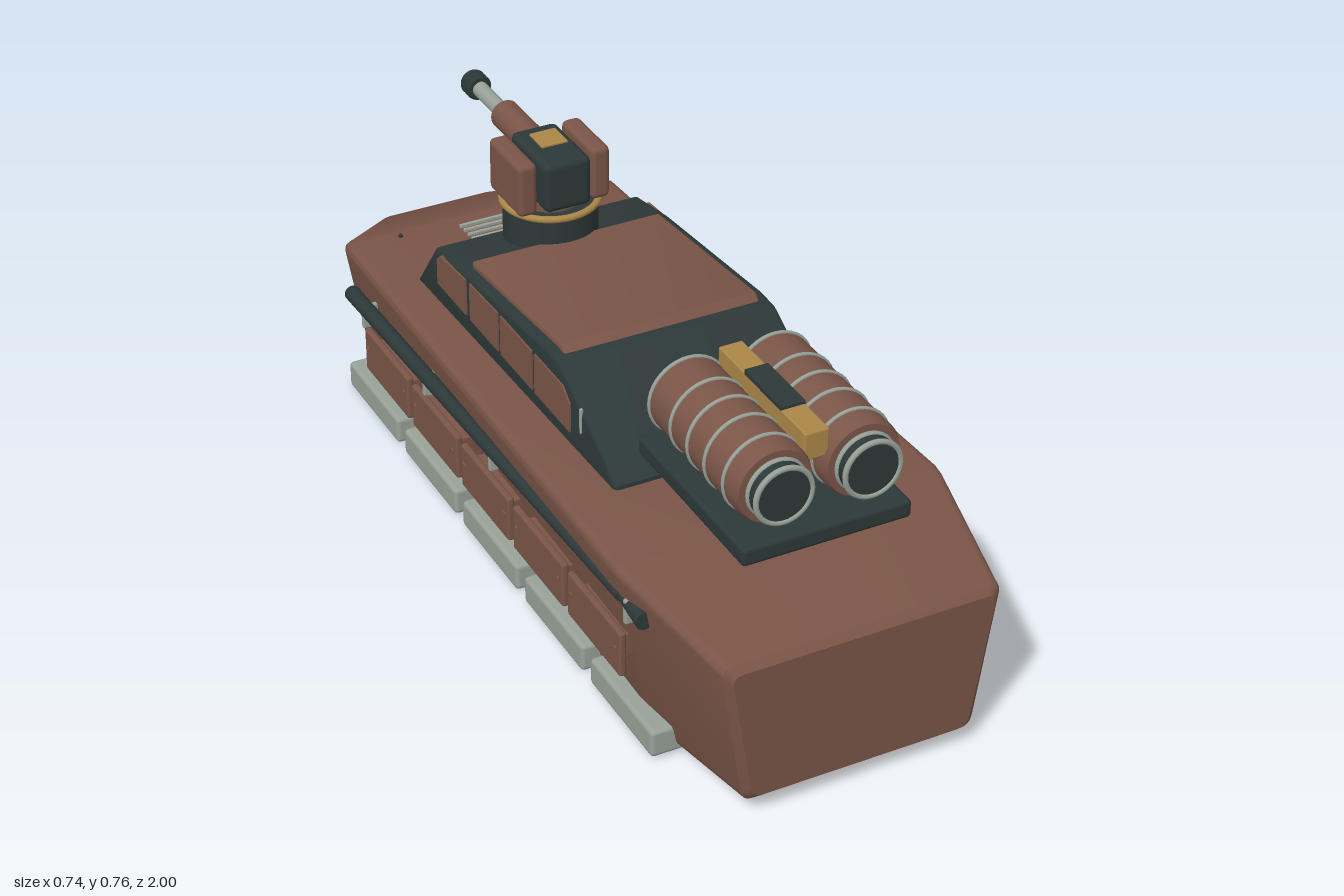
import * as THREE from 'three';
import { toCreasedNormals } from 'three/addons/utils/BufferGeometryUtils.js';
import { RoundedBoxGeometry } from 'three/addons/geometries/RoundedBoxGeometry.js';

const mat = (name, color) => Object.assign(new THREE.MeshStandardMaterial({ color }), { name });

export function createModel() {
  const brown = mat('brown armour', 0x7a5547);
  const dark = mat('dark slate', 0x2d3838);
  const grey = mat('pale grey', 0x98a198);
  const gold = mat('ochre', 0xab8748);
  const model = new THREE.Group();
  model.name = 'armouredVehicle';

  const add = (name, geo, material, x = 0, y = 0, z = 0, parent = model) => {
    const m = new THREE.Mesh(geo, material);
    m.name = name;
    m.position.set(x, y, z);
    parent.add(m);
    return m;
  };
  // Rounded box given by its min and max corners
  const box = (name, material, [x0, y0, z0], [x1, y1, z1], r = 0.008) => {
    const w = x1 - x0, h = y1 - y0, d = z1 - z0;
    const geo = new RoundedBoxGeometry(w, h, d, 2, Math.min(r, 0.4 * Math.min(w, h, d)));
    return add(name, geo, material, (x0 + x1) / 2, (y0 + y1) / 2, (z0 + z1) / 2);
  };
  // Cylinder along z from z0 (radius r0) to z1 (radius r1)
  const rod = (name, material, x, y, z0, z1, r0, r1 = r0) =>
    add(name, new THREE.CylinderGeometry(r1, r0, z1 - z0, 32).rotateX(Math.PI / 2), material, x, y, (z0 + z1) / 2);
  // Side profile of [z, y] points extruded across x
  const profile = (name, material, pts, width, bevel, x = 0) => {
    const shape = new THREE.Shape(pts.map(([z, y]) => new THREE.Vector2(z, y)));
    const geo = new THREE.ExtrudeGeometry(shape, {
      depth: width - 2 * bevel, bevelEnabled: bevel > 0, bevelSize: bevel,
      bevelThickness: bevel, bevelOffset: -bevel, bevelSegments: 3,
    });
    geo.translate(0, 0, bevel - width / 2).rotateY(-Math.PI / 2);
    return add(name, toCreasedNormals(geo, 0.55), material, x);
  };

  // Hull: trapezoid sections with rounded corners, lofted along z
  const section = (z, yb, yt, wb, wt, inset = 0) => {
    const c = [[-wb + inset, yb + inset], [wb - inset, yb + inset], [wt - inset, yt - inset], [-wt + inset, yt - inset]]
      .map(p => new THREE.Vector2(...p));
    const ring = [];
    c.forEach((p, i) => {
      const toward = q => q.clone().sub(p).setLength(0.025).add(p);
      const curve = new THREE.QuadraticBezierCurve(toward(c[(i + 3) % 4]), p, toward(c[(i + 1) % 4]));
      curve.getPoints(4).forEach(v => ring.push([v.x, v.y, z]));
    });
    return ring;
  };
  const rings = [
    section(-1, 0.06, 0.27, 0.12, 0.14, 0.012),
    section(-0.988, 0.057, 0.275, 0.13, 0.15),
    section(-0.76, 0.002, 0.381, 0.268, 0.333),
    section(-0.74, 0, 0.384, 0.27, 0.338),
    section(0.64, 0, 0.422, 0.29, 0.373),
    section(0.67, 0.002, 0.42, 0.288, 0.37),
    section(0.985, 0.036, 0.374, 0.257, 0.308),
    section(1, 0.038, 0.371, 0.254, 0.304, 0.012),
  ];
  const pos = [], n = rings[0].length;
  const tri = (a, b, c) => pos.push(...a, ...b, ...c);
  for (let k = 0; k < rings.length - 1; k++) {
    for (let i = 0; i < n; i++) {
      const j = (i + 1) % n, a = rings[k], b = rings[k + 1];
      tri(a[i], a[j], b[j]);
      tri(a[i], b[j], b[i]);
    }
  }
  const last = rings[rings.length - 1];
  for (let i = 1; i < n - 1; i++) {
    tri(rings[0][0], rings[0][i + 1], rings[0][i]);
    tri(last[0], last[i], last[i + 1]);
  }
  const hullGeo = new THREE.BufferGeometry();
  hullGeo.setAttribute('position', new THREE.Float32BufferAttribute(pos, 3));
  add('hull', toCreasedNormals(hullGeo, 0.6), brown);

  // Cabin, roof and the armoured shutters along its sides
  profile('cabin', dark, [[0.43, 0.38], [0.43, 0.425], [0.39, 0.462], [0.18, 0.575], [0.12, 0.578],
    [-0.3, 0.54], [-0.44, 0.515], [-0.54, 0.38]], 0.5, 0.012);
  profile('roofPlate', brown, [[0.165, 0.565], [0.14, 0.592], [-0.295, 0.552], [-0.295, 0.52]], 0.452, 0.007);
  const shutters = [
    [[0.232, 0.44], [0.232, 0.508], [0.2, 0.535], [0.068, 0.535], [0.068, 0.44]],
    [[0.055, 0.44], [0.055, 0.535], [-0.097, 0.535], [-0.097, 0.44]],
    [[-0.11, 0.44], [-0.11, 0.535], [-0.25, 0.53], [-0.25, 0.44]],
    [[-0.27, 0.44], [-0.27, 0.528], [-0.4, 0.518], [-0.418, 0.5], [-0.418, 0.44]],
  ];

  const clampZ = [0.69, 0.07, -0.265, -0.595];
  const poleY = z => 0.322 + 0.035 * z;
  for (const s of [-1, 1]) {
    const side = s > 0 ? 'left' : 'right';
    // Box with x limits mirrored to this side
    const sideBox = (name, m, x0, x1, y0, y1, z0, z1, r) =>
      box(side + name, m, [Math.min(s * x0, s * x1), y0, z0], [Math.max(s * x0, s * x1), y1, z1], r);

    shutters.forEach(p => profile(side + 'Shutter', brown, p, 0.009, 0, s * 0.2495));
    sideBox('CabinHandle', grey, 0.246, 0.254, 0.465, 0.525, 0.276, 0.283, 0.003);
    // Skirt blocks and stowage panels
    for (let i = 0; i < 5; i++) {
      const z = 0.76 - i * 0.31;
      sideBox('SkirtBlock', grey, 0.22, 0.337, 0.005, 0.069, z - 0.275, z, 0.01);
      const pz = 0.685 - i * 0.255;
      sideBox('StowagePanel', brown, 0.353, 0.369, 0.167, 0.273, pz - 0.234, pz, 0.006);
      sideBox('PanelBacking', brown, 0.28, 0.355, 0.19, 0.25, pz - 0.21, pz - 0.024, 0.004);
      for (const o of [0.02, 0.214])
        sideBox('PanelCatch', brown, 0.364, 0.372, 0.223, 0.234, pz - o - 0.006, pz - o + 0.006, 0.003);
    }
    // Stowed pole with its pointed end and clamps
    const pole = rod(side + 'Pole', dark, s * 0.35, poleY(-0.01), -0.68, 0.66, 0.018, 0.014);
    pole.rotation.x = -0.035;
    rod(side + 'PoleTip', dark, s * 0.35, 0.345, 0.64, 0.755, 0.008, 0.02).rotation.x = -0.035;
    for (const z of clampZ) {
      const y = poleY(z);
      sideBox('PoleClamp', grey, 0.325, 0.362, y - 0.045, y + 0.012, z - 0.006, z + 0.006, 0.003);
    }
    // Deck bolts
    add(side + 'DeckBolt', new THREE.CylinderGeometry(0.005, 0.005, 0.008, 8), dark, s * 0.21, 0.386, -0.72);

    // Launcher canister, turned around z
    const x = s * 0.097, y = 0.612;
    const body = [[0, 0.437], [0.076, 0.437], [0.085, 0.447], [0.085, 0.79], [0.08, 0.802], [0.064, 0.803], [0, 0.803]];
    const canister = new THREE.LatheGeometry(body.map(p => new THREE.Vector2(...p)), 40).rotateX(Math.PI / 2);
    add(side + 'Canister', toCreasedNormals(canister, 0.6), brown, x, y);
    for (const z of [0.445, 0.535, 0.605, 0.675, 0.75])
      add(side + 'CanisterBand', new THREE.TorusGeometry(0.085, 0.0045, 8, 40), grey, x, y, z);
    rod(side + 'CanisterMuzzle', dark, x, y, 0.79, 0.838, 0.062);
    for (const z of [0.806, 0.836])
      add(side + 'MuzzleRing', new THREE.TorusGeometry(0.061, 0.006, 8, 40), grey, x, y, z);

    // Turret cheek
    sideBox('TurretCheek', brown, 0.064, 0.109, 0.622, 0.747, -0.455, -0.3, 0.013);
  }

  // Launcher platform and centre bar
  box('launcherPlatform', dark, [-0.187, 0.474, 0.405], [0.187, 0.516, 0.843], 0.01);
  box('launcherBar', gold, [-0.027, 0.637, 0.44], [0.027, 0.7, 0.788], 0.004);
  box('launcherBarPad', dark, [-0.027, 0.695, 0.545], [0.027, 0.708, 0.695], 0.003);

  // Turret
  const tz = -0.376;
  add('turretPedestal', new THREE.CylinderGeometry(0.104, 0.104, 0.115, 40), dark, 0, 0.555, tz);
  add('turretRing', new THREE.TorusGeometry(0.105, 0.008, 10, 48).rotateX(Math.PI / 2), gold, 0, 0.615, tz);
  add('turretTurntable', new THREE.CylinderGeometry(0.07, 0.07, 0.03, 32), brown, 0, 0.618, tz);
  box('turretCore', dark, [-0.055, 0.628, -0.46], [0.055, 0.745, -0.28], 0.015);
  box('cheekAxle', dark, [-0.07, 0.66, -0.41], [0.07, 0.71, -0.35]);
  box('turretTopPlate', gold, [-0.031, 0.751, -0.412], [0.031, 0.757, -0.348], 0.002);
  box('topPlateStem', dark, [-0.012, 0.74, -0.39], [0.012, 0.752, -0.37], 0.002);

  // Gun
  rod('gunSleeve', brown, 0, 0.705, -0.6, -0.45, 0.034);
  rod('gunBarrel', grey, 0, 0.705, -0.74, -0.59, 0.018);
  rod('gunMuzzle', dark, 0, 0.705, -0.775, -0.73, 0.026);
  for (const z of [-0.768, -0.752, -0.737])
    add('muzzleRib', new THREE.TorusGeometry(0.024, 0.006, 8, 24), dark, 0, 0.705, z);

  // Rear deck vent slats
  for (let i = 0; i < 5; i++) {
    const z = -0.695 + i * 0.021;
    box('ventSlat', grey, [-0.075, 0.38, z - 0.004], [0.075, 0.393, z + 0.004], 0.002);
  }
  return model;
}
